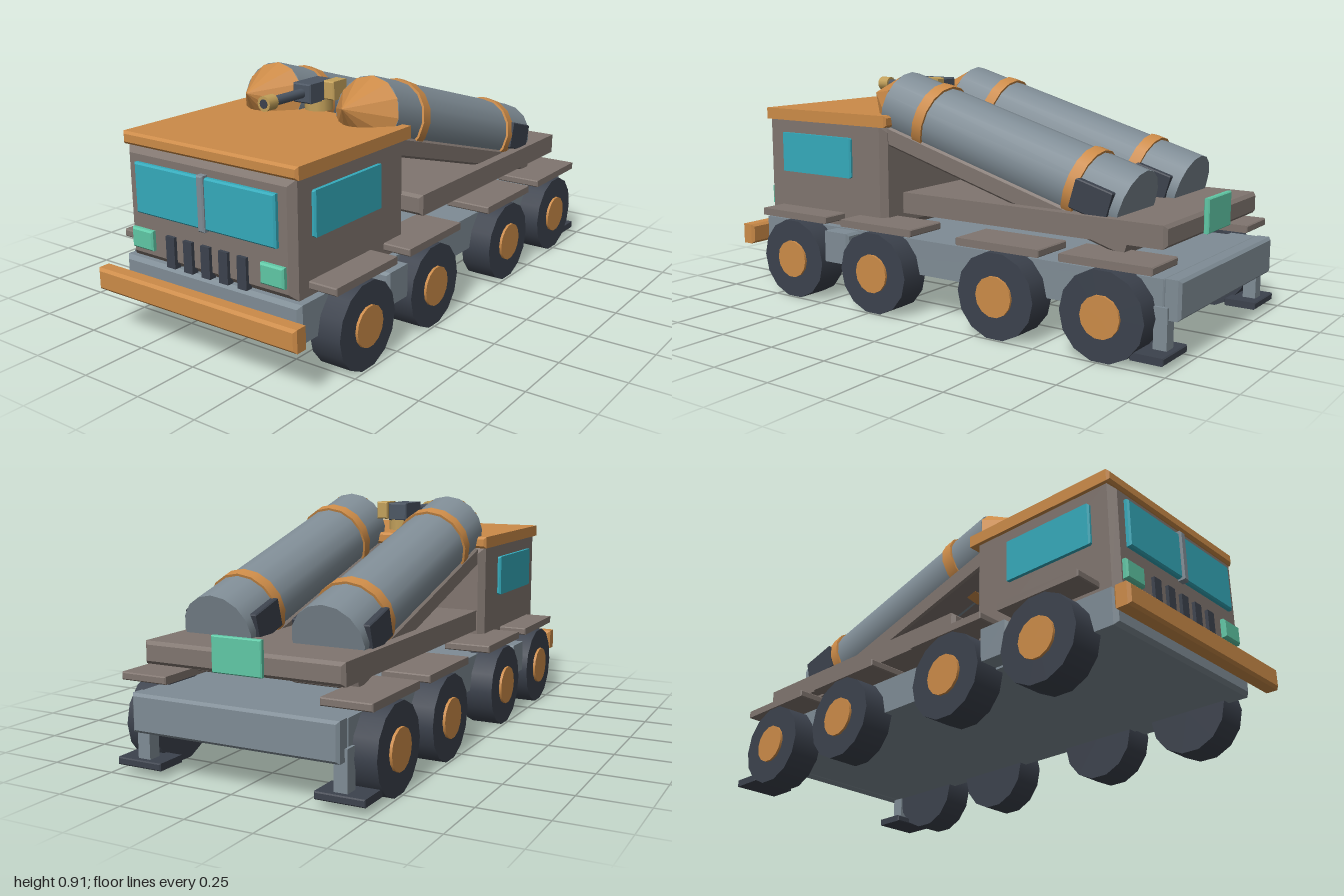
import * as THREE from 'three';

const paint = (name, color) => {
  const m = new THREE.MeshStandardMaterial({ color });
  m.name = name;
  return m;
};

export function createModel() {
  const model = new THREE.Group();
  model.name = 'missileTruck';
  const orange = paint('orange', 0xcc8b48);
  const brown = paint('taupe', 0x80756f);
  const gray = paint('steelGray', 0x7f8c95);
  const dark = paint('charcoal', 0x3c424d);
  const gunmetal = paint('gunmetal', 0x4c5663);
  const teal = paint('tealGlass', 0x34aabb);
  const mint = paint('mintLamp', 0x60c8a6);
  const khaki = paint('khaki', 0xc2a05a);

  const add = (name, geo, mat, parent = model) => {
    const m = new THREE.Mesh(geo, mat);
    m.name = name;
    parent.add(m);
    return m;
  };

  // Box from min/max ranges; a bevel above 0 chamfers every edge
  const box = (name, mat, [x0, x1], [y0, y1], [z0, z1], bevel = 0, parent = model) => {
    const w = x1 - x0, h = y1 - y0, d = z1 - z0;
    let geo;
    if (bevel > 0) {
      const a = w / 2 - bevel, b = h / 2 - bevel;
      const s = new THREE.Shape([[-a, -b], [a, -b], [a, b], [-a, b]].map((p) => new THREE.Vector2(...p)));
      geo = new THREE.ExtrudeGeometry(s, {
        depth: d - 2 * bevel, bevelEnabled: true, bevelSize: bevel, bevelThickness: bevel, bevelSegments: 1,
      });
      geo.translate(0, 0, bevel - d / 2);
    } else geo = new THREE.BoxGeometry(w, h, d);
    const m = add(name, geo, mat, parent);
    m.position.set((x0 + x1) / 2, (y0 + y1) / 2, (z0 + z1) / 2);
    return m;
  };
  // Same box on both sides of the truck
  const pair = (name, mat, [x0, x1], y, z, bevel = 0) => {
    box(name + 'Left', mat, [x0, x1], y, z, bevel);
    box(name + 'Right', mat, [-x1, -x0], y, z, bevel);
  };

  // Chassis, bumper, rear beam, side boxes
  box('chassis', gray, [-0.4, 0.4], [0.157, 0.292], [-0.95, 0.91], 0.014);
  box('frontBumper', orange, [-0.452, 0.452], [0.175, 0.257], [0.937, 1], 0.01);
  box('rearBeam', gray, [-0.4, 0.4], [0.157, 0.295], [-1, -0.935], 0.01);
  pair('sideBox', gray, [0.37, 0.47], [0.165, 0.288], [0.38, 0.51], 0.01);

  // Stabilizer legs and pads
  pair('stabilizerLeg', gray, [0.36, 0.41], [0.045, 0.2], [-0.96, -0.91]);
  pair('stabilizerPad', dark, [0.3, 0.482], [0.028, 0.055], [-0.983, -0.86], 0.004);

  // Wheels, hubs and fenders
  for (const z of [0.66, 0.237, -0.332, -0.758]) {
    for (const s of [-1, 1]) {
      const wheel = new THREE.Group();
      wheel.name = 'wheel';
      wheel.position.set(s * 0.428, 0.157, z);
      wheel.rotation.z = -s * Math.PI / 2;
      add('tire', new THREE.CylinderGeometry(0.16, 0.16, 0.124, 14), dark, wheel);
      add('hub', new THREE.CylinderGeometry(0.075, 0.075, 0.03, 14), orange, wheel).position.y = 0.057;
      model.add(wheel);
    }
  }
  for (const z of [0.655, 0.227, -0.335, -0.765]) {
    pair('fender', brown, [0.3, 0.487], [0.32, 0.348], [z - 0.176, z + 0.176], 0.004);
  }

  // Cab
  box('cab', brown, [-0.375, 0.375], [0.295, 0.705], [0.268, 0.905], 0.024);
  box('cabRoof', orange, [-0.39, 0.39], [0.704, 0.75], [0.248, 0.9], 0.009);
  box('windshield', teal, [-0.315, 0.315], [0.472, 0.655], [0.895, 0.923], 0.006);
  box('windshieldDivider', gray, [-0.015, 0.015], [0.465, 0.662], [0.9, 0.932], 0.005);
  pair('sideWindow', teal, [0.365, 0.389], [0.492, 0.652], [0.433, 0.81], 0.006);
  pair('headlight', mint, [0.245, 0.345], [0.34, 0.413], [0.895, 0.924], 0.006);
  for (const x of [-0.163, -0.081, 0, 0.081, 0.163]) {
    box('grilleBar', dark, [x - 0.02, x + 0.02], [0.296, 0.411], [0.89, 0.918]);
  }

  // Rear deck and tail plate
  box('deck', brown, [-0.388, 0.388], [0.385, 0.465], [-0.938, 0.174], 0.012);
  box('tailPlate', mint, [-0.097, 0.097], [0.388, 0.513], [-0.957, -0.936], 0.004);

  // Two missiles on tilted rails: local y runs forward, local z points down
  const R = 0.138, L = 1.074;
  for (const s of [-1, 1]) {
    const missile = new THREE.Group();
    missile.name = s > 0 ? 'missileLeft' : 'missileRight';
    missile.position.set(s * 0.22, 0.628, -0.228);
    missile.rotation.x = Math.PI / 2 - 0.282;
    add('missileBody', new THREE.CylinderGeometry(R, R, L, 16), gray, missile);
    const cone = new THREE.ConeGeometry(R, 0.158, 12).toNonIndexed();
    cone.computeVertexNormals();
    add('missileNose', cone, orange, missile).position.y = L / 2 + 0.079;
    for (const y of [L / 2 - 0.185, L / 2 - 0.878]) {
      add('missileBand', new THREE.CylinderGeometry(0.147, 0.147, 0.045, 16), orange, missile).position.y = y;
    }
    box('rearClamp', dark, [-0.148, 0.148], [-0.503, -0.355], [-0.06, 0.05], 0.004, missile);
    box('launchRail', brown, [-0.128, 0.128], [-0.595, 0.5], [0.065, 0.137], 0.008, missile);
    model.add(missile);
  }

  // Roof turret
  add('turretBase', new THREE.CylinderGeometry(0.053, 0.053, 0.042, 12), khaki).position.set(0, 0.786, 0.285);
  box('turretBody', gunmetal, [-0.04, 0.04], [0.804, 0.876], [0.237, 0.387], 0.005);
  box('turretSideBox', khaki, [0.042, 0.089], [0.81, 0.88], [0.228, 0.312], 0.005);
  const rod = (name, mat, r, z0, z1) => {
    const m = add(name, new THREE.CylinderGeometry(r, r, z1 - z0, 12), mat);
    m.rotation.x = Math.PI / 2;
    m.position.set(0, 0.84, (z0 + z1) / 2);
  };
  rod('gunBarrel', gunmetal, 0.018, 0.38, 0.56);
  rod('gunMuzzle', khaki, 0.028, 0.548, 0.596);
  rod('gunBore', dark, 0.017, 0.59, 0.598);

  return model;
}
